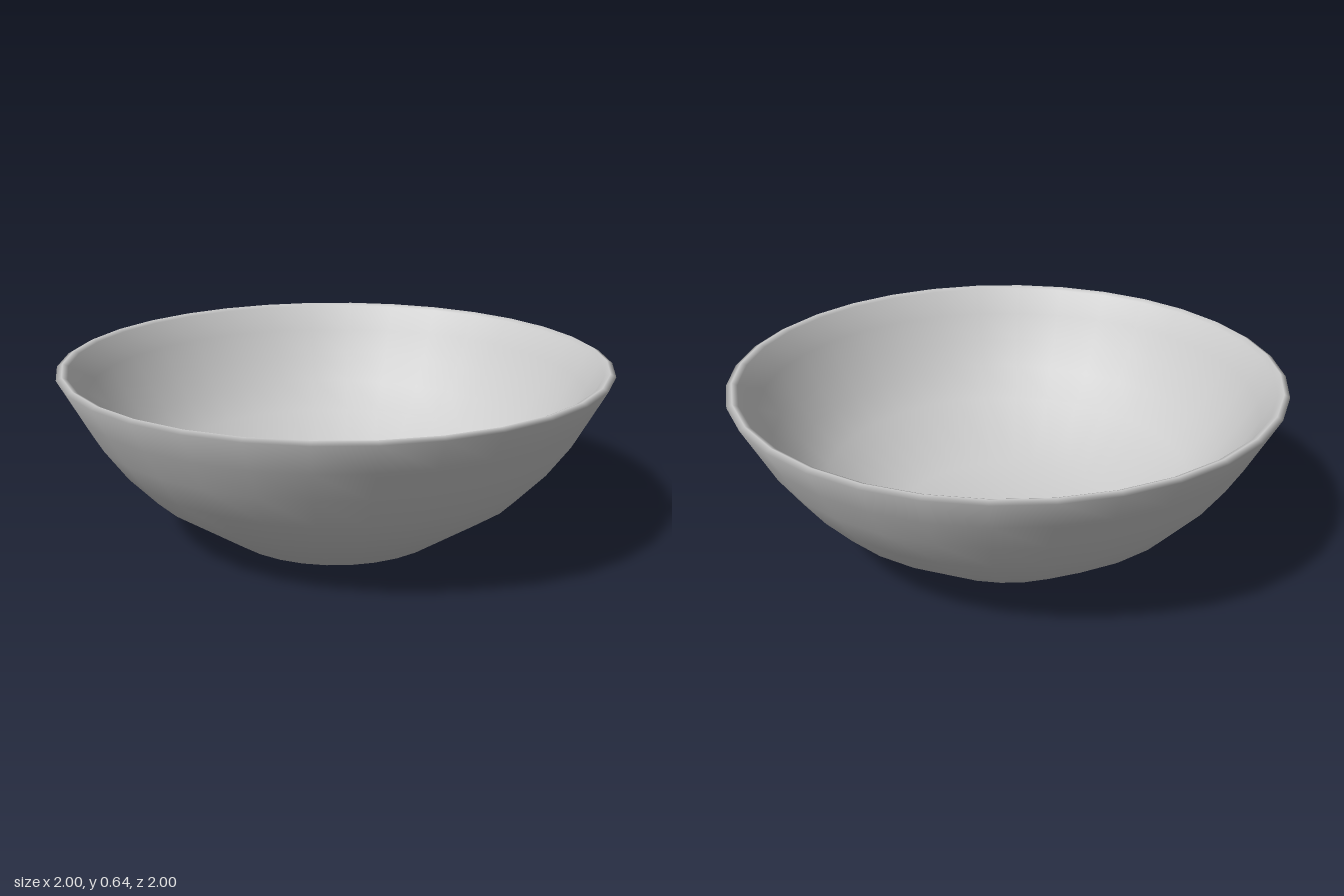
import * as THREE from 'three';

export function createModel() {
  const group = new THREE.Group();
  group.name = 'bowl';
  const material = new THREE.MeshStandardMaterial({ color: 0xcccccc });

  // Closed cross-section: underside, outer wall, rim, inner wall, floor
  const profile = [
    [0, 0], [0.435, 0],
    [0.71, 0.195], [0.81, 0.305], [0.89, 0.42], [0.945, 0.525], [1, 0.63],
    [0.98, 0.64], [0.96, 0.63],
    [0.91, 0.535], [0.855, 0.435], [0.78, 0.33], [0.685, 0.225],
    [0.42, 0.04], [0, 0.04],
  ].map(([r, y]) => new THREE.Vector2(r, y));

  // One smooth 32-sided shell
  const shell = new THREE.Mesh(new THREE.LatheGeometry(profile, 32), material);
  shell.name = 'bowlShell';
  group.add(shell);
  return group;
}
